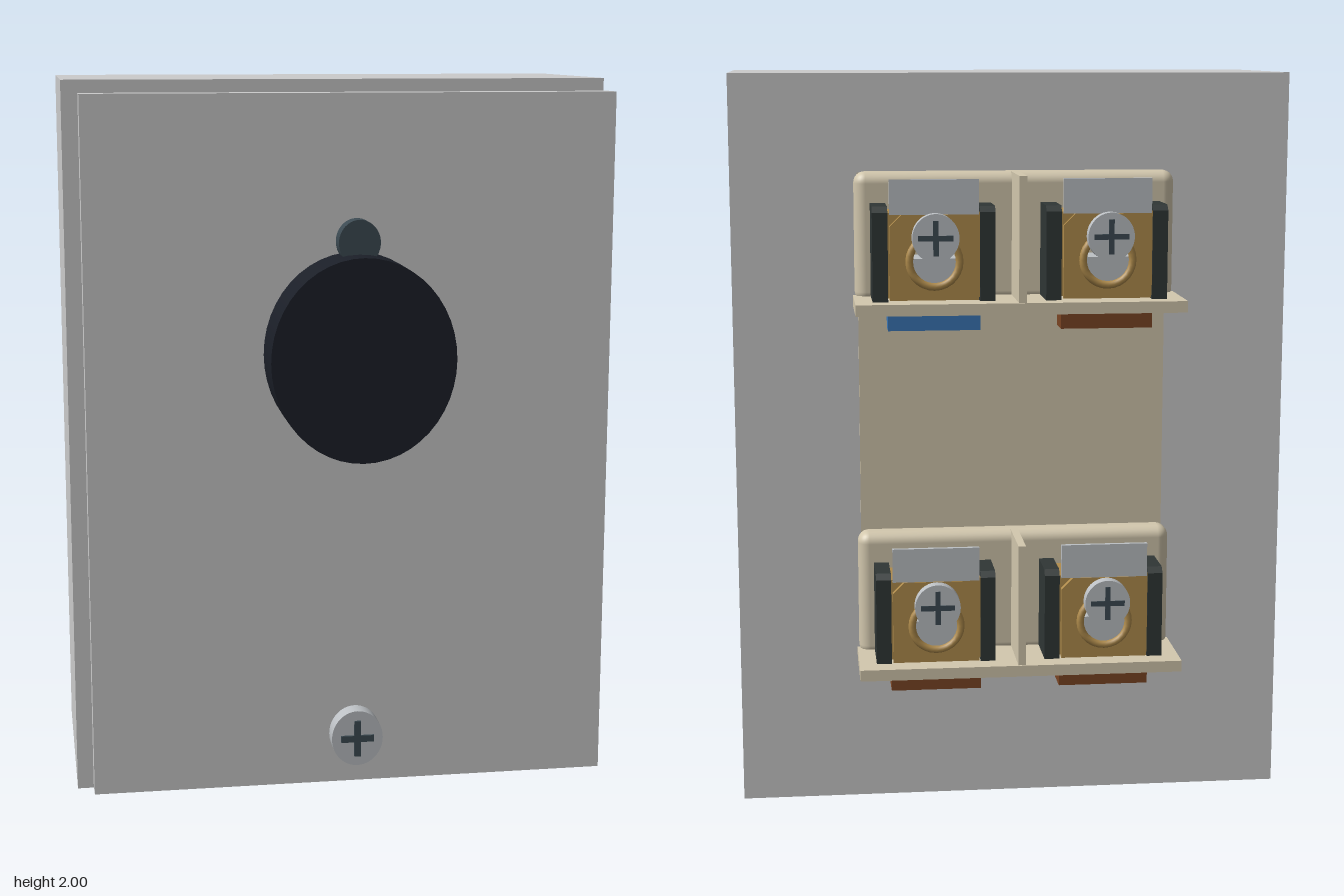
import * as THREE from 'three';
import { RoundedBoxGeometry } from 'three/addons/geometries/RoundedBoxGeometry.js';

const paint = (color) => new THREE.MeshStandardMaterial({ color });
const grey = paint(0xcccccc), black = paint(0x1b1f28), slate = paint(0x3c4a52);
const cream = paint(0xd3c8ae), brass = paint(0xb08c4c), steel = paint(0xbcc0c4);
const charcoal = paint(0x2f3635), blue = paint(0x3a75b5), brown = paint(0x7a4423);

function add(parent, name, geometry, material, x = 0, y = 0, z = 0) {
  const mesh = new THREE.Mesh(geometry, material);
  mesh.name = name;
  mesh.position.set(x, y, z);
  parent.add(mesh);
  return mesh;
}

// Box given by its limits on each axis
function box(parent, name, material, [x0, x1], [y0, y1], [z0, z1]) {
  return add(parent, name, new THREE.BoxGeometry(x1 - x0, y1 - y0, z1 - z0), material,
    (x0 + x1) / 2, (y0 + y1) / 2, (z0 + z1) / 2);
}

// Elliptical disc or peg lying along z
function disc(parent, name, material, x, y, rx, ry, z0, z1) {
  const g = new THREE.CylinderGeometry(1, 1, z1 - z0, 48).rotateX(Math.PI / 2).scale(rx, ry, 1);
  return add(parent, name, g, material, x, y, (z0 + z1) / 2);
}

// Brass face plate with a round hole below the screw
function clampFace() {
  const s = new THREE.Shape();
  s.moveTo(-0.115, 0);
  s.lineTo(0.115, 0);
  s.lineTo(0.115, 0.19);
  s.lineTo(0.085, 0.22);
  s.lineTo(-0.085, 0.22);
  s.lineTo(-0.115, 0.19);
  s.closePath();
  const hole = new THREE.Path();
  hole.absarc(0, 0.1, 0.065, 0, Math.PI * 2, true);
  s.holes.push(hole);
  return new THREE.ExtrudeGeometry(s, { depth: 0.015, bevelEnabled: false, curveSegments: 20 });
}

// Side wall with a chamfered rear corner, extruded across x
function sideWall() {
  const s = new THREE.Shape();
  s.moveTo(0.5, 0.02);
  s.lineTo(0.63, 0.02);
  s.lineTo(0.63, 0.25);
  s.lineTo(0.615, 0.265);
  s.lineTo(0.5, 0.265);
  s.closePath();
  return new THREE.ExtrudeGeometry(s, { depth: 0.04, bevelEnabled: false })
    .translate(0, 0, -0.02).rotateY(Math.PI / 2);
}

// Machine screw with a threaded shank, its head towards -z
function terminalScrew() {
  const g = new THREE.Group();
  g.name = 'terminalScrew';
  disc(g, 'screwHead', steel, 0, 0, 0.06, 0.062, -0.7, -0.668);
  disc(g, 'screwShank', steel, 0, 0, 0.022, 0.022, -0.67, -0.54);
  for (let i = 0; i < 6; i++) {
    const thread = add(g, 'screwThread', new THREE.TorusGeometry(0.024, 0.008, 6, 20), steel,
      0, 0, -0.55 - i * 0.02);
    thread.rotation.y = 0.2;
  }
  box(g, 'screwSlot', slate, [-0.045, 0.045], [-0.007, 0.007], [-0.702, -0.698]);
  box(g, 'screwSlot', slate, [-0.007, 0.007], [-0.045, 0.045], [-0.702, -0.698]);
  return g;
}

// One wire terminal, measured from the foot of its block
function terminal(pinMaterial) {
  const g = new THREE.Group();
  g.name = 'terminal';
  for (const s of [-1, 1]) {
    add(g, 'terminalWall', sideWall(), charcoal, s * 0.139, 0, 0);
    box(g, 'brassCheek', brass, s < 0 ? [-0.119, -0.087] : [0.087, 0.119], [0.03, 0.25], [-0.625, -0.5]);
  }
  box(g, 'clampBlock', steel, [-0.087, 0.087], [0.03, 0.13], [-0.615, -0.5]);
  add(g, 'clampFace', clampFace(), brass, 0, 0.025, -0.64);
  add(g, 'clampRing', new THREE.TorusGeometry(0.065, 0.01, 8, 28), brass, 0, 0.125, -0.642);
  box(g, 'tagPlate', steel, [-0.115, 0.115], [0.245, 0.335], [-0.637, -0.625]);
  const screw = terminalScrew();
  screw.position.y = 0.19;
  g.add(screw);
  box(g, 'wirePin', pinMaterial, [-0.12, 0.12], [-0.055, -0.008], [-0.63, -0.555]);
  return g;
}

function terminalBlock(name, y, pins) {
  const g = new THREE.Group();
  g.name = name;
  g.position.y = y;
  add(g, 'blockBase', new RoundedBoxGeometry(0.85, 0.345, 0.08, 4, 0.03), cream, 0, 0.173, -0.46);
  box(g, 'blockShelf', cream, [-0.43, 0.43], [-0.01, 0.02], [-0.682, -0.465]);
  box(g, 'blockDivider', cream, [-0.01, 0.01], [0.02, 0.345], [-0.677, -0.475]);
  pins.forEach((material, i) => {
    const t = terminal(material);
    t.position.x = i ? -0.225 : 0.225;
    g.add(t);
  });
  return g;
}

export function createModel() {
  const model = new THREE.Group();
  model.name = 'switchBox';

  // Housing and detached front cover
  box(model, 'housing', grey, [-0.75, 0.75], [0, 2], [-0.41, 0.25]);
  box(model, 'frontCover', grey, [-0.71, 0.71], [0.08, 1.97], [0.42, 0.505]);

  // Front knob and its pointer
  disc(model, 'knob', black, 0, 1.292, 0.243, 0.268, 0.545, 0.702);
  disc(model, 'knobPointer', slate, 0, 1.59, 0.055, 0.06, 0.568, 0.62);

  // Cover screw with cross recess
  const screw = new THREE.Group();
  screw.name = 'coverScrew';
  screw.position.set(0, 0.24, 0);
  disc(screw, 'coverScrewHead', steel, 0, 0, 0.07, 0.077, 0.558, 0.608);
  box(screw, 'crossBar', slate, [-0.045, 0.045], [-0.009, 0.009], [0.6, 0.615]);
  box(screw, 'crossBar', slate, [-0.009, 0.009], [-0.05, 0.05], [0.6, 0.615]);
  model.add(screw);

  // Fittings between housing and cover
  for (const y of [1.36, 1.025, 0.69]) {
    disc(model, 'frontPeg', black, 0.235, y, 0.075, 0.082, 0.245, 0.388);
  }
  disc(model, 'creamButton', cream, -0.38, 1.025, 0.1, 0.08, 0.245, 0.297);
  box(model, 'darkPanel', black, [-0.39, -0.04], [0.9, 1.4], [0.245, 0.256]);

  // Rear panel and terminal blocks
  box(model, 'rearPanel', cream, [-0.415, 0.415], [0.43, 1.74], [-0.424, -0.405]);
  model.add(terminalBlock('upperTerminals', 1.4, [blue, brown]));
  model.add(terminalBlock('lowerTerminals', 0.43, [brown, brown]));

  return model;
}
